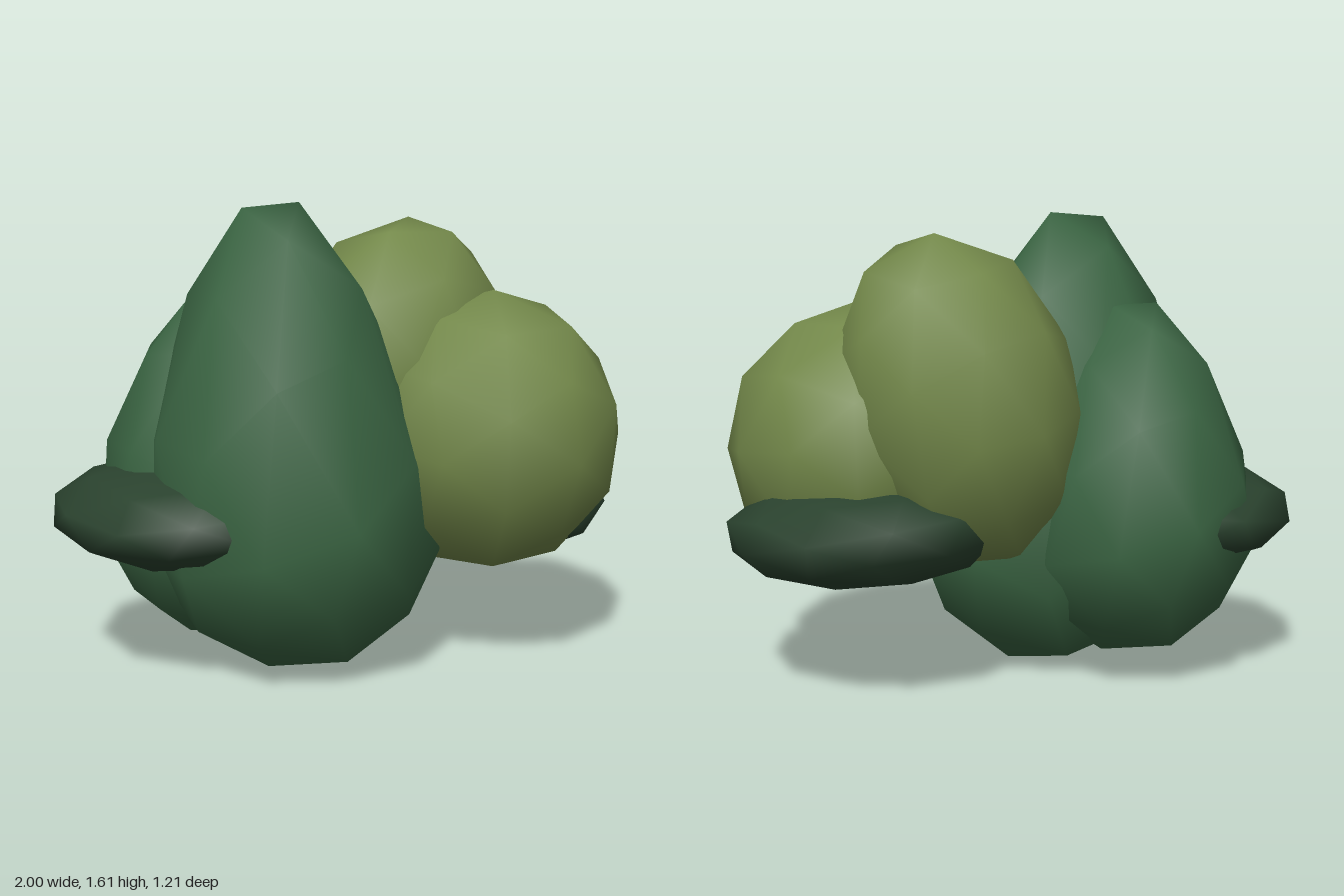
import * as THREE from 'three';
import { mergeVertices } from 'three/addons/utils/BufferGeometryUtils.js';

// Smooth low-poly blob with its own height above and below the waist.
// turn rotates the facets before sizing, taper slims the part above the waist,
// lean shifts the top sideways.
function blobGeometry({ rx, rz, high, low = high, taper = 0, lean = 0, turn }) {
  let geo = new THREE.IcosahedronGeometry(1, 1);
  geo.deleteAttribute('uv');
  geo.deleteAttribute('normal');
  geo = mergeVertices(geo, 1e-3);
  geo.applyMatrix4(new THREE.Matrix4().makeRotationFromEuler(new THREE.Euler(...turn)));
  geo.computeBoundingBox();
  const max = geo.boundingBox.max;
  const p = geo.attributes.position;
  for (let i = 0; i < p.count; i++) {
    const t = p.getY(i) / max.y;
    const y = t * (t > 0 ? high : low);
    const k = 1 - taper * Math.max(t, 0);
    p.setXYZ(i, (p.getX(i) / max.x) * rx * k + lean * y, y, (p.getZ(i) / max.z) * rz * k);
  }
  geo.computeVertexNormals();
  return geo;
}

export function createModel() {
  const mat = (name, color) => {
    const m = new THREE.MeshStandardMaterial({ color });
    m.name = name;
    return m;
  };
  const green = mat('leafGreen', 0x3a6442);
  const olive = mat('oliveGreen', 0x73884a);
  const dark = mat('shadeGreen', 0x2a422e);

  const parts = [
    // Tall egg-shaped bushes
    { name: 'tallBush', m: green, pos: [-0.2, 0.57, 0.08], rx: 0.51, rz: 0.49, high: 1.04, low: 0.57, taper: 0.28, lean: -0.06, turn: [0, 0.15, -0.25] },
    { name: 'rearBush', m: green, pos: [-0.4, 0.58, -0.16], rx: 0.42, rz: 0.44, high: 0.72, low: 0.5, taper: 0.25, turn: [0, 0.15, 0.27] },
    // Round olive bushes
    { name: 'frontRoundBush', m: olive, pos: [0.5, 0.805, 0.13], rx: 0.46, rz: 0.475, high: 0.5, turn: [0.1, 0.3, 0] },
    { name: 'backRoundBush', m: olive, pos: [0.22, 0.98, -0.12], rx: 0.41, rz: 0.415, high: 0.555, lean: 0.1, turn: [0.25, 0, 0.27], tilt: 0.13 },
    // Flat low shrubs at the sides
    { name: 'leftLowShrub', m: dark, pos: [0.54, 0.54, -0.06], rx: 0.46, rz: 0.48, high: 0.185, turn: [0.27, 0, 0.27], tilt: 0.07 },
    { name: 'rightLowShrub', m: dark, pos: [-0.54, 0.555, -0.05], rx: 0.46, rz: 0.49, high: 0.18, turn: [0.2, 0.25, -0.27] },
  ];

  const group = new THREE.Group();
  group.name = 'bushCluster';
  for (const { name, m, pos, tilt = 0, ...shape } of parts) {
    const mesh = new THREE.Mesh(blobGeometry(shape), m);
    mesh.name = name;
    mesh.position.set(...pos);
    mesh.rotation.x = tilt;
    group.add(mesh);
  }
  return group;
}
